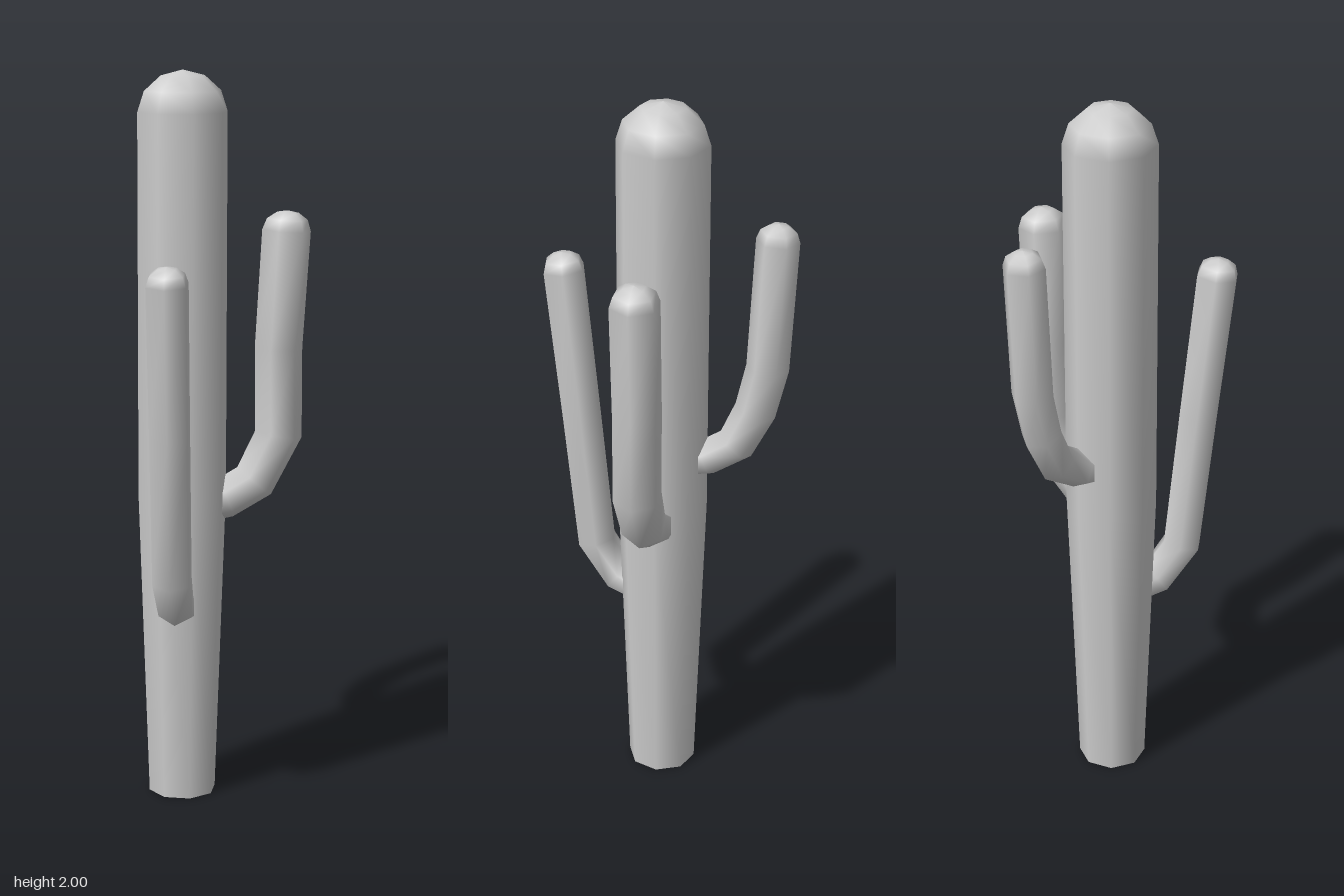
import * as THREE from 'three';

const CENTRE = new THREE.Vector3(-0.008, 0, -0.036);
const SIDES = 6;

// Six-sided tube in a vertical plane; path entries are [distance from trunk axis, height, radius].
function armGeometry(dirX, dirZ, path) {
  const out = new THREE.Vector3(dirX, 0, dirZ).normalize();
  const up = new THREE.Vector3(0, 1, 0);
  const side = new THREE.Vector3().crossVectors(out, up);
  const points = path.map(([d, y]) => CENTRE.clone().addScaledVector(out, d).addScaledVector(up, y));
  const radii = path.map((p) => p[2]);

  // Rounded tip
  const last = points.length - 1;
  const tipDir = points[last].clone().sub(points[last - 1]).normalize();
  const tip = points[last].clone();
  const r = radii[last];
  for (const [rise, scale] of [[0.45, 0.84], [0.72, 0.45], [0.8, 0]]) {
    points.push(tip.clone().addScaledVector(tipDir, rise * r));
    radii.push(r * scale);
  }

  const position = [];
  const index = [];
  points.forEach((p, i) => {
    const before = points[Math.max(i - 1, 0)];
    const after = points[Math.min(i + 1, points.length - 1)];
    const tangent = after.clone().sub(before).normalize();
    const normal = new THREE.Vector3().crossVectors(tangent, side).normalize();
    if (normal.dot(out) - normal.y < 0) normal.negate();
    const binormal = new THREE.Vector3().crossVectors(tangent, normal);
    for (let j = 0; j < SIDES; j++) {
      const a = (j / SIDES) * Math.PI * 2;
      const v = p.clone()
        .addScaledVector(normal, Math.cos(a) * radii[i])
        .addScaledVector(binormal, Math.sin(a) * radii[i]);
      position.push(v.x, v.y, v.z);
      if (i > 0) {
        const k = (j + 1) % SIDES;
        const a0 = (i - 1) * SIDES + j, b0 = (i - 1) * SIDES + k;
        const a1 = i * SIDES + j, b1 = i * SIDES + k;
        index.push(a0, b0, b1);
        if (radii[i] > 0) index.push(a0, b1, a1);
      }
    }
  });
  const geometry = new THREE.BufferGeometry();
  geometry.setAttribute('position', new THREE.Float32BufferAttribute(position, 3));
  geometry.setIndex(index);
  geometry.computeVertexNormals();
  return geometry;
}

export function createModel() {
  const model = new THREE.Group();
  model.name = 'cactus';
  const material = new THREE.MeshStandardMaterial({ color: 0xcccccc, side: THREE.DoubleSide });
  const add = (name, geometry) => {
    const mesh = new THREE.Mesh(geometry, material);
    mesh.name = name;
    model.add(mesh);
    return mesh;
  };

  // Eight-sided trunk, tapering to the foot, with a domed top
  const profile = [
    [0.094, 0], [0.123, 0.85], [0.123, 1.89], [0.105, 1.945], [0.06, 1.985], [0, 2],
  ].map(([x, y]) => new THREE.Vector2(x, y));
  add('trunk', new THREE.LatheGeometry(profile, 8)).position.copy(CENTRE);

  // Foot cap
  const foot = add('trunkBase', new THREE.CircleGeometry(0.094, 8));
  foot.rotation.x = Math.PI / 2;
  foot.position.copy(CENTRE);

  // Three bent arms
  add('backRightArm', armGeometry(-0.212, -0.21, [
    [0.05, 0.98, 0.05], [0.12, 0.995, 0.052], [0.2, 1.045, 0.054],
    [0.25, 1.15, 0.056], [0.28, 1.28, 0.057], [0.298, 1.645, 0.057],
  ]));
  add('backLeftArm', armGeometry(0.215, -0.187, [
    [0.05, 0.82, 0.055], [0.12, 0.835, 0.058], [0.2, 0.88, 0.062],
    [0.267, 1.01, 0.066], [0.265, 1.25, 0.066], [0.284, 1.57, 0.067],
  ]));
  add('frontArm', armGeometry(0.128, 0.28, [
    [0.06, 0.55, 0.05], [0.135, 0.565, 0.053], [0.215, 0.66, 0.057],
    [0.26, 1.06, 0.058], [0.308, 1.47, 0.06],
  ]));

  return model;
}
